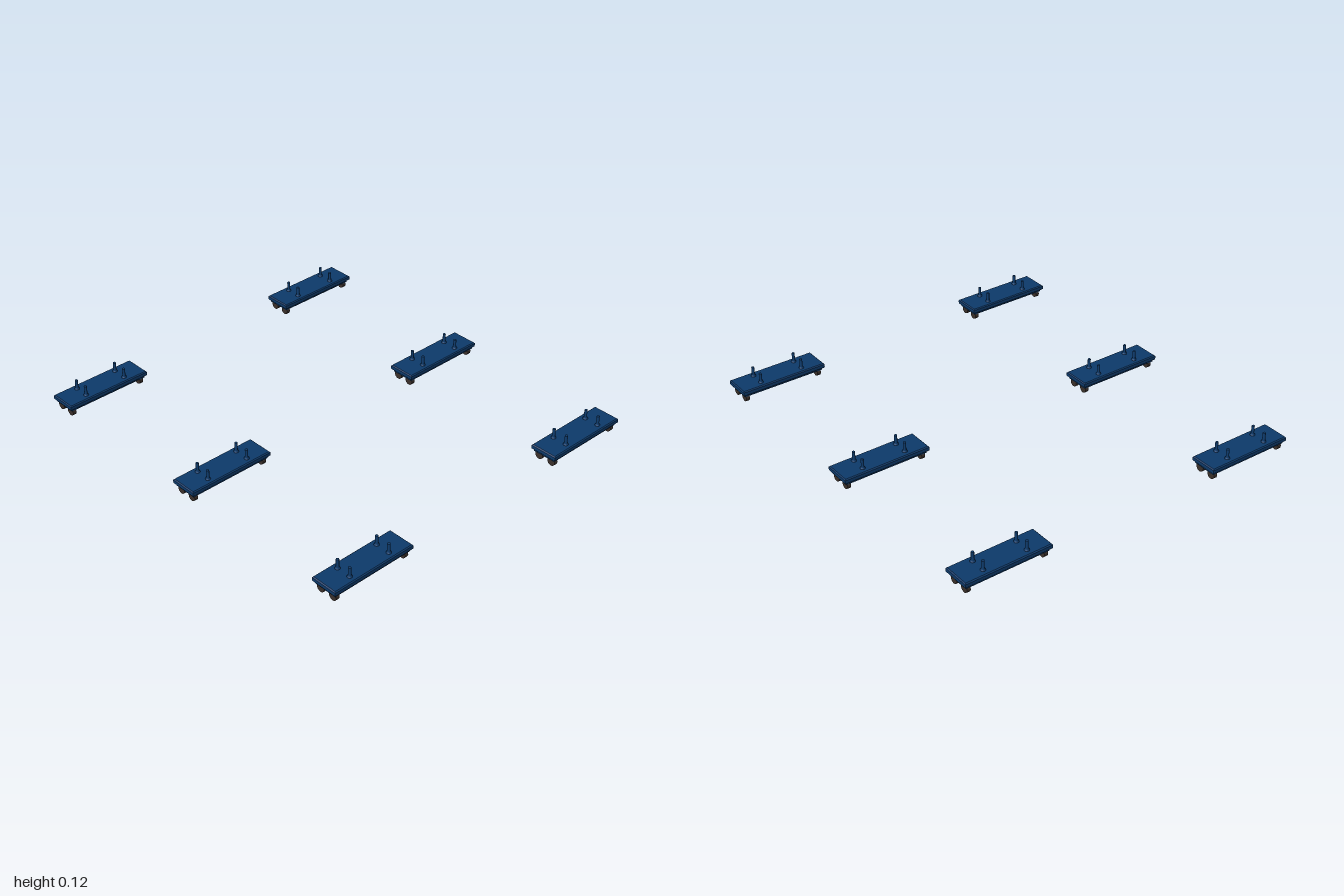
import * as THREE from 'three';

const blue = new THREE.MeshStandardMaterial({ color: 0x0d3a6b });
blue.name = 'deck blue';
const rubber = new THREE.MeshStandardMaterial({ color: 0x3a302b });
rubber.name = 'wheel brown';

// Box whose top (or bottom) rim is drawn in by a small chamfer
function deckGeometry(length, width, y0, y1, bevel) {
  const l = length / 2, w = width / 2;
  const shape = new THREE.Shape([
    new THREE.Vector2(-l + bevel, -w + bevel), new THREE.Vector2(l - bevel, -w + bevel),
    new THREE.Vector2(l - bevel, w - bevel), new THREE.Vector2(-l + bevel, w - bevel),
  ]);
  const g = new THREE.ExtrudeGeometry(shape, {
    depth: y1 - y0 - 2 * bevel, bevelEnabled: true, bevelThickness: bevel, bevelSize: bevel, bevelSegments: 1,
  });
  g.rotateX(-Math.PI / 2);
  g.translate(0, y0 + bevel, 0);
  return g;
}

const plateGeo = deckGeometry(0.46, 0.142, 0.046, 0.073, 0.005);
const frameGeo = new THREE.BoxGeometry(0.44, 0.012, 0.122).translate(0, 0.042, 0);
const wheelGeo = new THREE.CylinderGeometry(0.022, 0.022, 0.019, 20).rotateZ(Math.PI / 2);

// Upright pin with a flared foot
const postGeo = new THREE.LatheGeometry([
  [0.013, 0.072], [0.012, 0.077], [0.0075, 0.082], [0.0075, 0.122], [0.0065, 0.124], [0, 0.124],
].map(([r, y]) => new THREE.Vector2(r, y)), 14);

function add(group, geometry, material, name, x = 0, y = 0, z = 0) {
  const mesh = new THREE.Mesh(geometry, material);
  mesh.name = name;
  mesh.position.set(x, y, z);
  group.add(mesh);
}

// One wheeled platform
function createDolly() {
  const dolly = new THREE.Group();
  dolly.name = 'dolly';
  add(dolly, plateGeo, blue, 'deckPlate');
  add(dolly, frameGeo, blue, 'underFrame');
  for (const sx of [-1, 1]) {
    for (const sz of [-1, 1]) {
      add(dolly, postGeo, blue, 'post', sx * 0.115, 0, sz * 0.037);
      add(dolly, wheelGeo, rubber, 'wheel', sx * 0.203, 0.022, sz * 0.037);
    }
  }
  return dolly;
}

export function createModel() {
  const model = new THREE.Group();
  model.name = 'dollySet';
  // Two columns of three
  for (const x of [-0.693, 0.693]) {
    for (const z of [-0.929, 0, 0.929]) {
      const dolly = createDolly();
      dolly.position.set(x, 0, z);
      model.add(dolly);
    }
  }
  return model;
}
